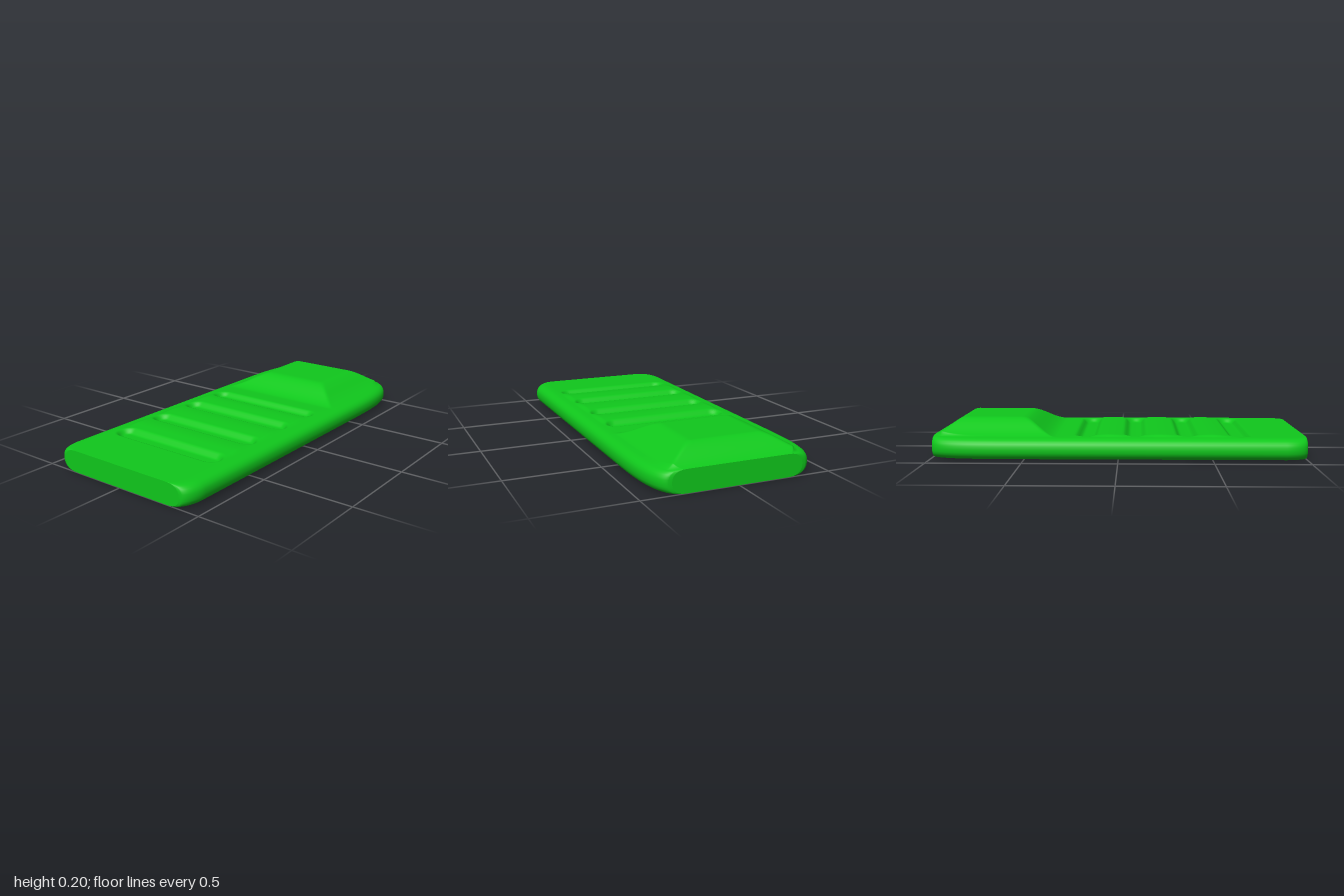
import * as THREE from 'three';

const H = 0.117;      // slab thickness
const R = 0.075;      // depth of the rounded long sides
const step = THREE.MathUtils.smoothstep;
const ramp = (v, a, b) => 0.6 * step(v, a, b) + 0.4 * THREE.MathUtils.clamp((v - a) / (b - a), 0, 1);
const grooveX = [-0.65, -0.37, -0.09, 0.17];

// Half width of the slab along its length, with softened corners in plan
function halfWidth(x) {
  if (x > 0.5) {
    const t = Math.min(1, (x - 0.5) / 0.5);
    return 0.345 + 0.1 * Math.pow(1 - Math.pow(t, 3.5), 0.45);
  }
  if (x < -0.88) {
    const t = Math.min(1, (-0.88 - x) / 0.12);
    return 0.385 + 0.06 * Math.sqrt(1 - t * t);
  }
  return 0.445;
}

// Relief of the top: raised pad, gentle waves and four sunken finger grooves
function relief(x, z) {
  const az = Math.abs(z);
  const inner = 1 - step(az, 0.335, 0.372);

  // raised pad, a softened frustum
  const px = Math.min(step(x, 0.33, 0.54), ramp(1 - x, 0, 0.15));
  const pz = ramp(0.375 - az, 0, 0.19);
  const k = 0.12;
  const h = Math.max(k - Math.abs(px - pz), 0) / k;
  const pad = 0.087 * Math.max(0, Math.min(px, pz) - h * h * k * 0.25 * Math.min(1, 8 * px * pz));

  // waves between the grooves
  const band = step(x, -0.72, -0.5) * (1 - step(x, 0.05, 0.34));
  const wave = band * (0.0075 + 0.003 * Math.cos((x + 0.5) * Math.PI * 2 / 0.275)) * inner;

  // grooves with rounded ends
  let groove = 0;
  for (const gx of grooveX) {
    const dx = Math.abs(x - gx);
    const dz = Math.max(0, az - 0.29);
    groove += (1 - step(Math.hypot(dx, dz), 0.028, 0.064)) * 0.026;
  }
  return pad + wave - groove;
}

// One closed cross-section at x, listed as [y, z]
function section(x) {
  const w = halfWidth(x), flat = w - R, pts = [];
  const ARC = 14, TOP = 96, BOTTOM = 6;
  const sp = (v) => Math.sign(v) * Math.pow(Math.abs(v), 2 / 2.4);
  const arc = (side) => {
    for (let i = 0; i < ARC; i++) {
      const a = side * (-Math.PI / 2 + Math.PI * i / ARC);
      pts.push([H / 2 + sp(Math.sin(a)) * H / 2, side * (flat + R * sp(Math.cos(a)))]);
    }
  };
  for (let i = 0; i < BOTTOM; i++) pts.push([0, -flat + 2 * flat * i / BOTTOM]);
  arc(1);
  for (let i = 0; i < TOP; i++) {
    const z = flat - 2 * flat * i / TOP;
    pts.push([H + relief(x, z), z]);
  }
  arc(-1);
  return pts;
}

function loftBody() {
  const N = 300, pos = [], index = [];
  let m = 0;
  for (let i = 0; i <= N; i++) {
    const u = -1 + 2 * i / N;
    const x = u * (1.3 - 0.3 * u * u); // finer spacing toward both ends
    const pts = section(x);
    m = pts.length;
    for (const [y, z] of pts) pos.push(x, y, z);
  }
  for (let i = 0; i < N; i++) {
    for (let j = 0; j < m; j++) {
      const a = i * m + j, b = i * m + (j + 1) % m;
      index.push(a, a + m, b, b, a + m, b + m);
    }
  }
  // flat end caps with their own vertices, for a crisp edge
  for (const end of [0, N]) {
    const first = pos.length / 3;
    for (let j = 0; j < m; j++) {
      const s = (end * m + j) * 3;
      pos.push(pos[s], pos[s + 1], pos[s + 2]);
    }
    pos.push(end ? 1 : -1, H / 2, 0);
    for (let j = 0; j < m; j++) {
      const a = first + j, b = first + (j + 1) % m;
      if (end) index.push(first + m, b, a);
      else index.push(first + m, a, b);
    }
  }
  const geo = new THREE.BufferGeometry();
  geo.setAttribute('position', new THREE.Float32BufferAttribute(pos, 3));
  geo.setIndex(index);
  geo.computeVertexNormals();
  return geo;
}

export function createModel() {
  const group = new THREE.Group();
  group.name = 'slidingCover';
  const body = new THREE.Mesh(loftBody(), new THREE.MeshStandardMaterial({ color: 0x10c81c }));
  body.name = 'groovedBody';
  group.add(body);
  return group;
}
